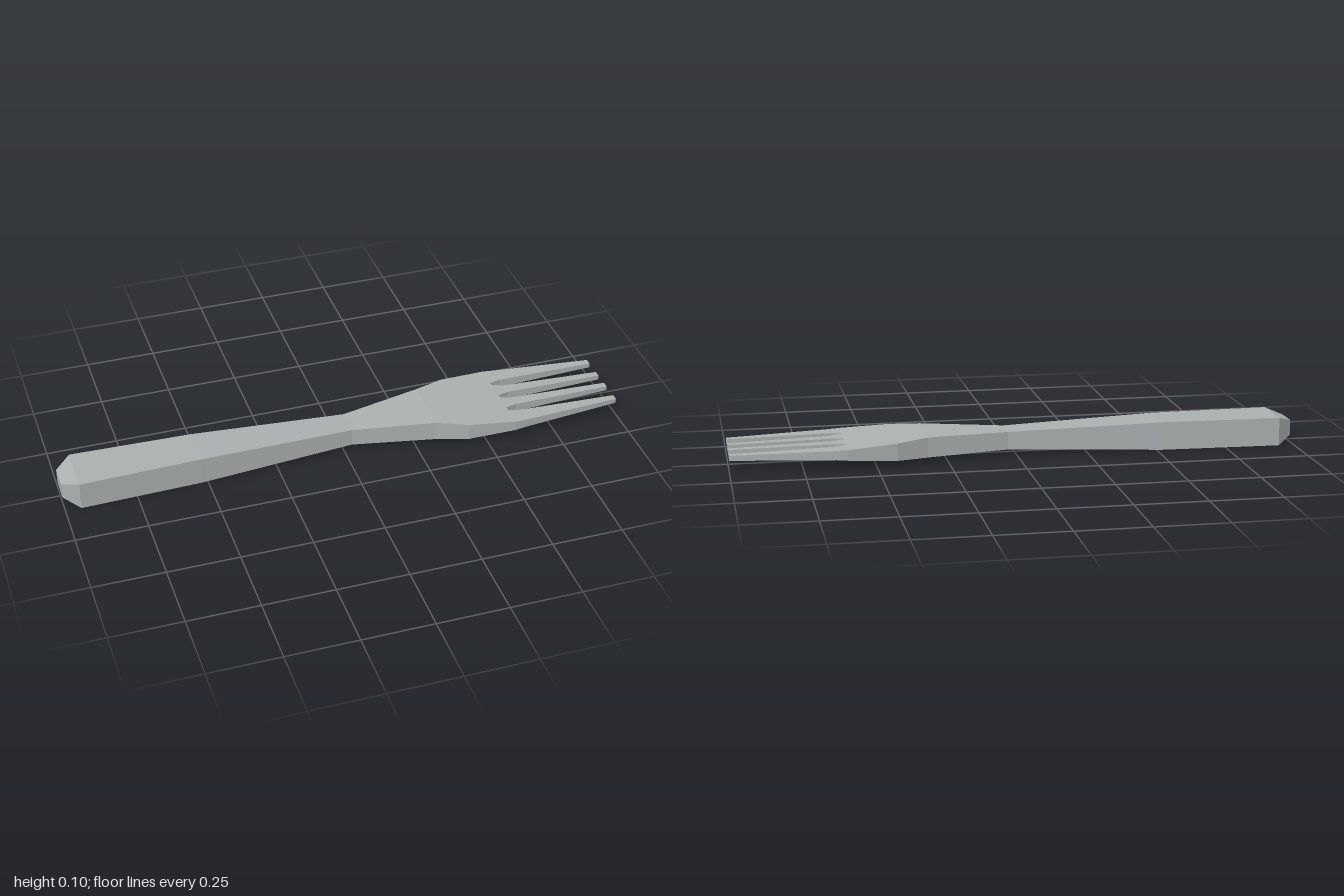
import * as THREE from 'three';

// Loft through rectangular sections [x, bottom, top, zMin, zMax], flat-shaded
function loft(sections, capStart, capEnd) {
  const rings = sections.map(([x, b, t, z0, z1]) => [[x, b, z0], [x, t, z0], [x, t, z1], [x, b, z1]]);
  const pos = [];
  const quad = (a, b, c, d) => pos.push(...a, ...b, ...c, ...a, ...c, ...d);
  for (let i = 0; i < rings.length - 1; i++) {
    for (let k = 0; k < 4; k++) {
      const n = (k + 1) % 4;
      quad(rings[i][k], rings[i][n], rings[i + 1][n], rings[i + 1][k]);
    }
  }
  const first = rings[0], last = rings[rings.length - 1];
  if (capStart) quad(first[3], first[2], first[1], first[0]);
  if (capEnd) quad(...last);
  const geo = new THREE.BufferGeometry();
  geo.setAttribute('position', new THREE.Float32BufferAttribute(pos, 3));
  geo.computeVertexNormals();
  return geo;
}

export function createModel() {
  const group = new THREE.Group();
  group.name = 'fork';
  const metal = new THREE.MeshStandardMaterial({ color: 0xabb2b0 });
  metal.name = 'metal';
  const add = (name, geo) => {
    const mesh = new THREE.Mesh(geo, metal);
    mesh.name = name;
    group.add(mesh);
  };
  const symmetric = ([x, b, t, w]) => [x, b, t, -w, w];

  // Handle: chamfered butt narrowing to the neck
  add('handle', loft([
    [-1, 0.025, 0.08, 0.043],
    [-0.945, 0, 0.1, 0.088],
    [-0.52, 0, 0.1, 0.076],
    [0.03, 0.02, 0.083, 0.05],
  ].map(symmetric), true, false));

  // Head: flares and thins toward the tines
  add('head', loft([
    [0.03, 0.02, 0.083, 0.05],
    [0.32, 0.019, 0.09, 0.107],
    [0.43, 0.022, 0.083, 0.146],
    [0.6, 0.035, 0.072, 0.163],
  ].map(symmetric), false, true));

  // Tines: z ranges at the root, past the pointed slot end, and at the tip
  const tines = {
    outerTine: [[0.088, 0.163], [0.098, 0.16], [0.106, 0.13]],
    innerTine: [[0.007, 0.073], [0.018, 0.061], [0.024, 0.048]],
  };
  const heights = [[0.6, 0.035, 0.072], [0.64, 0.038, 0.07], [1, 0.045, 0.062]];
  for (const [name, spans] of Object.entries(tines)) {
    for (const side of [1, -1]) {
      const sections = heights.map((h, i) => {
        const [a, b] = spans[i];
        return side > 0 ? [...h, a, b] : [...h, -b, -a];
      });
      add(name + (side > 0 ? 'Front' : 'Back'), loft(sections, false, true));
    }
  }
  return group;
}
